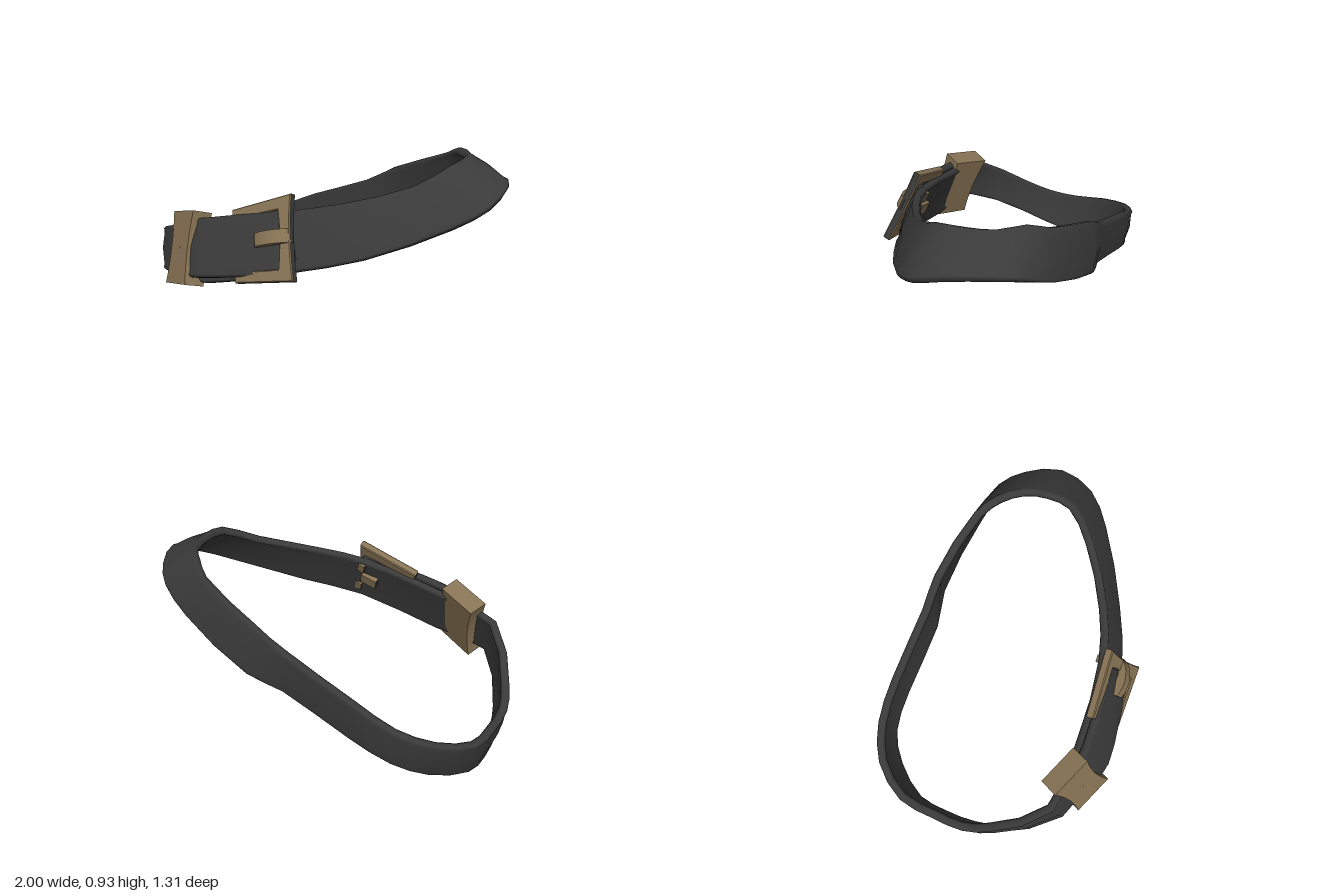
import * as THREE from 'three';

const leather = new THREE.MeshStandardMaterial({ color: 0x3a3a3a });
leather.name = 'dark leather';
const brass = new THREE.MeshStandardMaterial({ color: 0x877354 });
brass.name = 'dull brass';
const V = (a) => new THREE.Vector3(...a);

// Strap section: [height fraction, depth], with a slight rim at both edges
const SECTION = [
  [0, -0.01], [0.04, 0], [0.12, -0.004], [0.5, 0.006], [0.88, -0.004], [0.96, 0], [1, -0.01],
  [1, -0.036], [0.95, -0.048], [0.88, -0.038], [0.12, -0.038], [0.05, -0.048], [0, -0.036],
];

// Sweeps the section between two edge curves through [top, bottom] points
function strap(name, points, closed) {
  const spans = 2 * (closed ? points.length : points.length - 1);
  const [topEdge, bottomEdge] = [0, 1].map(
    (e) => new THREE.CatmullRomCurve3(points.map((p) => V(p[e])), closed));
  const n = closed ? spans : spans + 1, m = SECTION.length, pos = [], idx = [];
  const tops = [], bottoms = [], mid = [];
  for (let i = 0; i < n; i++) {
    tops.push(topEdge.getPoint(i / spans));
    bottoms.push(bottomEdge.getPoint(i / spans));
    mid.push(tops[i].clone().lerp(bottoms[i], 0.5));
  }
  for (let i = 0; i < n; i++) {
    const prev = closed ? (i + n - 1) % n : Math.max(i - 1, 0);
    const next = closed ? (i + 1) % n : Math.min(i + 1, n - 1);
    const up = tops[i].clone().sub(bottoms[i]);
    const out = up.clone().cross(mid[next].clone().sub(mid[prev])).normalize();
    for (const [h, d] of SECTION) {
      pos.push(...bottoms[i].clone().addScaledVector(up, h).addScaledVector(out, d).toArray());
    }
  }
  for (let i = 0; i < spans; i++) {
    for (let j = 0; j < m; j++) {
      const a = i * m + j, b = i * m + (j + 1) % m;
      const c = ((i + 1) % n) * m + j, d = ((i + 1) % n) * m + (j + 1) % m;
      idx.push(a, b, c, b, d, c);
    }
  }
  if (!closed) {
    const e = (n - 1) * m;
    for (let j = 0; j < m / 2 - 1; j++) {
      const k = m - 1 - j;
      idx.push(j, k, j + 1, j + 1, k, k - 1);
      idx.push(e + j, e + j + 1, e + k, e + j + 1, e + k - 1, e + k);
    }
  }
  const g = new THREE.BufferGeometry();
  g.setAttribute('position', new THREE.Float32BufferAttribute(pos, 3));
  g.setIndex(idx);
  g.computeVertexNormals();
  const mesh = new THREE.Mesh(g, leather);
  mesh.name = name;
  return mesh;
}

// Group whose local x, y, z follow the width, height and outward direction
function tilted(name, centre, across, up) {
  const x = V(across).normalize();
  const z = x.clone().cross(V(up)).normalize();
  const g = new THREE.Group();
  g.name = name;
  g.setRotationFromMatrix(new THREE.Matrix4().makeBasis(x, z.clone().cross(x), z));
  g.position.set(...centre);
  return g;
}

// Brass part whose end faces (local x) are dark
function darkEnds(name, geometry) {
  const g = geometry.index ? geometry.toNonIndexed() : geometry;
  g.clearGroups();
  const nor = g.attributes.normal;
  for (let i = 0; i < nor.count; i += 3) {
    g.addGroup(i, 3, Math.abs(nor.getX(i)) > 0.8 ? 1 : 0);
  }
  const mesh = new THREE.Mesh(g, [brass, leather]);
  mesh.name = name;
  return mesh;
}

export function createModel() {
  const model = new THREE.Group();
  model.name = 'belt';

  // Main loop: right end, front, left end, back
  model.add(strap('beltLoop', [
    [[0.755, 0.935, -0.14], [1.0, 0.81, -0.14]],
    [[0.74, 0.92, 0.01], [0.97, 0.735, 0.05]],
    [[0.60, 0.825, 0.17], [0.83, 0.645, 0.19]],
    [[0.30, 0.74, 0.35], [0.45, 0.485, 0.41]],
    [[0.04, 0.69, 0.435], [0.10, 0.40, 0.54]],
    [[-0.40, 0.585, 0.46], [-0.40, 0.27, 0.575]],
    [[-0.78, 0.49, 0.42], [-0.75, 0.26, 0.48]],
    [[-0.965, 0.30, 0.13], [-0.93, 0.10, 0.16]],
    [[-1.005, 0.24, -0.02], [-0.955, 0.04, 0.02]],
    [[-0.995, 0.235, -0.2], [-0.95, 0.003, -0.17]],
    [[-0.965, 0.265, -0.4], [-0.92, 0.035, -0.35]],
    [[-0.82, 0.33, -0.575], [-0.77, 0.10, -0.53]],
    [[-0.62, 0.40, -0.65], [-0.60, 0.18, -0.625]],
    [[-0.38, 0.50, -0.65], [-0.37, 0.26, -0.63]],
    [[0.00, 0.64, -0.61], [0.02, 0.39, -0.595]],
    [[0.18, 0.74, -0.595], [0.22, 0.46, -0.625]],
    [[0.54, 0.88, -0.49], [0.64, 0.65, -0.54]],
    [[0.64, 0.935, -0.40], [0.82, 0.755, -0.46]],
    [[0.73, 0.935, -0.28], [0.92, 0.80, -0.34]],
  ], true));

  // Overlapping strap end, from the buckle to the keeper
  model.add(strap('strapEnd', [
    [[0.06, 0.70, 0.445], [0.13, 0.40, 0.545]],
    [[0.00, 0.695, 0.475], [0.03, 0.385, 0.59]],
    [[-0.20, 0.655, 0.49], [-0.18, 0.355, 0.615]],
    [[-0.42, 0.61, 0.495], [-0.40, 0.32, 0.63]],
    [[-0.60, 0.57, 0.475], [-0.57, 0.28, 0.58]],
  ], false));

  // Keeper: a block with bowed sides
  const keeper = tilted('keeper', [-0.59, 0.425, 0.53], [0.21, 0.055, 0.1], [-0.03, 0.37, -0.14]);
  const k = new THREE.Shape();
  k.moveTo(-0.12, -0.195);
  k.lineTo(0.12, -0.195);
  k.quadraticCurveTo(0.08, 0, 0.12, 0.2);
  k.lineTo(-0.12, 0.2);
  k.quadraticCurveTo(-0.08, 0, -0.12, -0.195);
  const block = new THREE.Mesh(
    new THREE.ExtrudeGeometry(k, { depth: 0.11, bevelEnabled: false, curveSegments: 8 }), brass);
  block.name = 'keeperBlock';
  block.position.z = -0.11;
  keeper.add(block);
  model.add(keeper);

  // Buckle: frame open at one end, with a bowed bar
  const buckle = tilted('buckle', [-0.055, 0.545, 0.515], [0.34, 0.1, -0.005], [-0.1, 0.4, -0.17]);
  const f = new THREE.Shape();
  f.moveTo(-0.175, -0.2);
  f.lineTo(0.17, -0.23);
  f.quadraticCurveTo(0.15, 0, 0.18, 0.2);
  f.lineTo(-0.18, 0.175);
  f.lineTo(-0.18, 0.13);
  f.lineTo(0.105, 0.14);
  f.quadraticCurveTo(0.12, 0, 0.095, -0.17);
  f.lineTo(-0.175, -0.155);
  const frame = darkEnds('buckleFrame', new THREE.ExtrudeGeometry(f, {
    depth: 0.034, bevelThickness: 0.006, bevelSize: 0.005, bevelSegments: 1, curveSegments: 8,
  }));
  frame.position.z = -0.019;
  buckle.add(frame);

  // Arched prong across the bar
  const p = new THREE.Shape();
  p.moveTo(0.175, 0);
  p.quadraticCurveTo(0.15, 0.055, 0.06, 0.065);
  p.quadraticCurveTo(0, 0.065, -0.03, 0.045);
  p.lineTo(-0.03, -0.005);
  p.quadraticCurveTo(0.08, 0.035, 0.13, 0);
  const prong = darkEnds('prong', new THREE.ExtrudeGeometry(p, {
    depth: 0.07, bevelEnabled: false, curveSegments: 6,
  }).rotateX(Math.PI / 2));
  prong.position.y = 0.03;
  buckle.add(prong);

  // Prong anchor and bar lugs on the inside of the strap
  for (const [name, u, v, w, h] of [
    ['prongAnchor', 0.07, 0, 0.1, 0.07],
    ['upperLug', 0.13, 0.09, 0.04, 0.06],
    ['lowerLug', 0.13, -0.09, 0.04, 0.06],
  ]) {
    const lug = darkEnds(name, new THREE.BoxGeometry(w, h, 0.06));
    lug.position.set(u, v, -0.063);
    buckle.add(lug);
  }
  model.add(buckle);
  return model;
}
